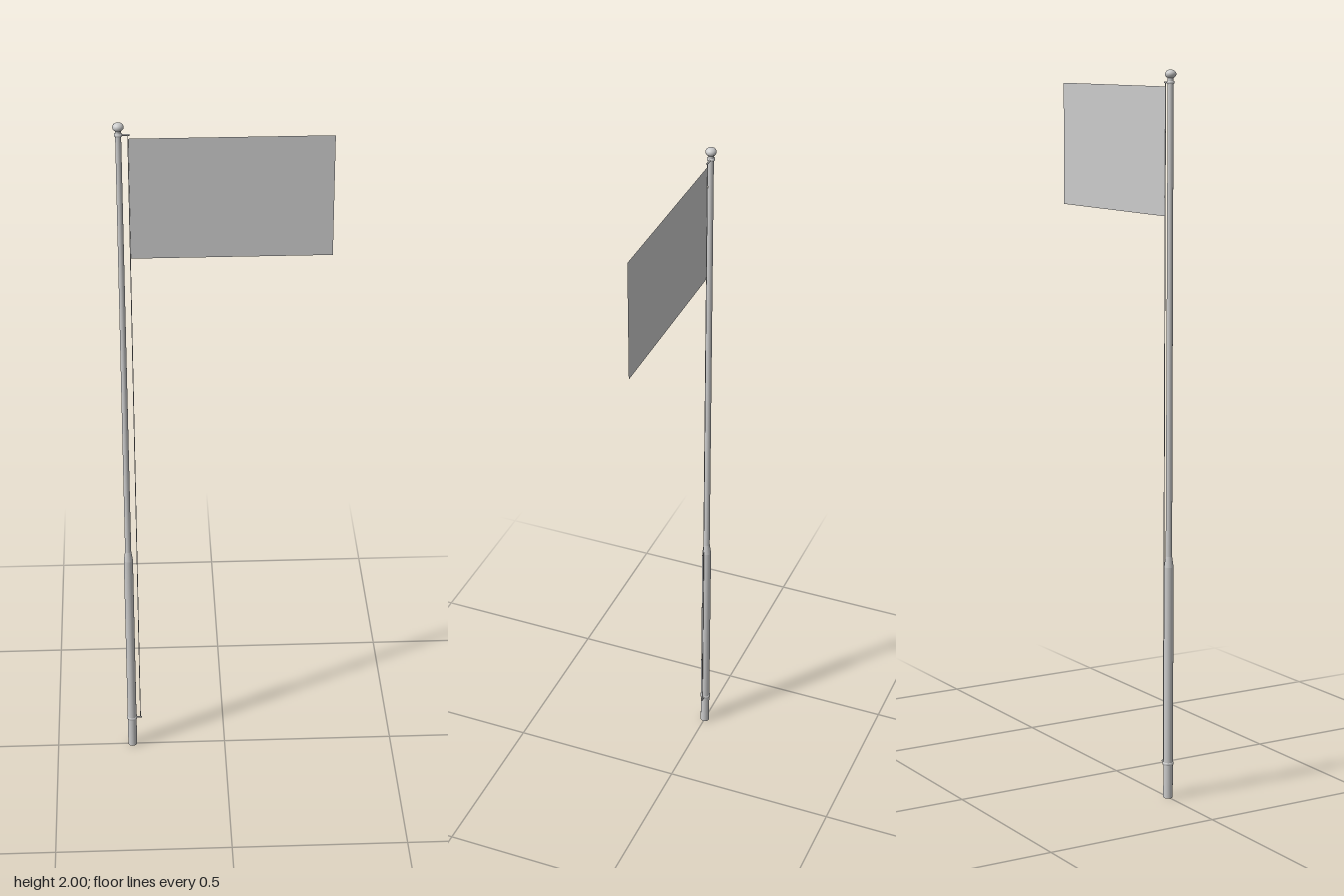
import * as THREE from 'three';

const POLE_X = -0.277;
const ROPE_X = -0.252;

export function createModel() {
  const group = new THREE.Group();
  const grey = new THREE.MeshStandardMaterial({ color: 0xcccccc });
  const cloth = new THREE.MeshStandardMaterial({ color: 0xcccccc, side: THREE.DoubleSide });

  const add = (name, geometry, x, y, material = grey) => {
    const mesh = new THREE.Mesh(geometry, material);
    mesh.name = name;
    mesh.position.set(x, y, 0);
    group.add(mesh);
    return mesh;
  };
  const lathe = (points, sides = 24) =>
    new THREE.LatheGeometry(points.map(([r, y]) => new THREE.Vector2(r, y)), sides);
  const rod = (name, length, radius, x, y) =>
    add(name, new THREE.CylinderGeometry(radius, radius, length, 10), x, y);

  // Pole: thick lower sleeve, short taper, slim upper mast
  add('lowerPole', new THREE.CylinderGeometry(0.0132, 0.0132, 0.655, 24), POLE_X, 0.3275);
  add('poleTaper', new THREE.CylinderGeometry(0.0088, 0.0132, 0.03, 24), POLE_X, 0.67);
  add('upperPole', new THREE.CylinderGeometry(0.0078, 0.0088, 1.295, 24), POLE_X, 1.3325);

  // Flattened finial ball
  add('finial', new THREE.SphereGeometry(0.015, 24, 16), POLE_X, 1.988).scale.y = 0.8;

  // Collars that carry the halyard arms
  const collar = (r) => lathe([[r - 0.003, -0.004], [r, -0.003], [r, 0.003], [r - 0.003, 0.004]]);
  add('lowerCollar', collar(0.0152), POLE_X, 0.098);
  add('upperCollar', collar(0.0105), POLE_X, 1.966);

  // Halyard arms
  for (const [name, y] of [['lowerArm', 0.098], ['upperArm', 1.966]]) {
    rod(name, 0.029, 0.0025, POLE_X + 0.0155, y).rotation.z = Math.PI / 2;
  }

  // Halyard rope
  rod('halyard', 1.868, 0.0012, ROPE_X, 1.032);

  // Flag: one thin flat sheet
  add('flag', new THREE.PlaneGeometry(0.543, 0.344), 0.0195, 1.783, cloth);

  return group;
}
